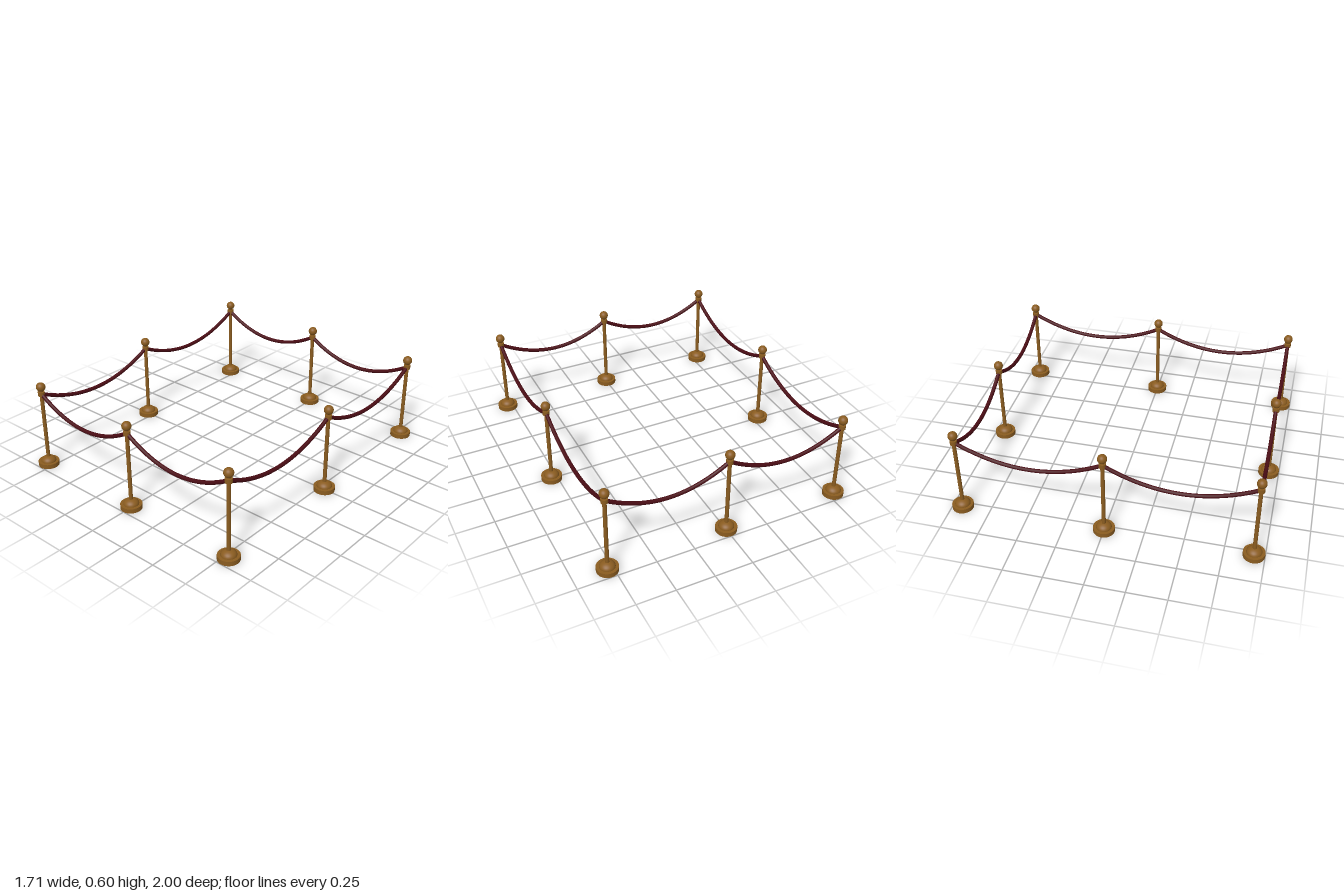
import * as THREE from 'three';

const brass = new THREE.MeshStandardMaterial({ color: 0x8a5c20 });
const velvet = new THREE.MeshStandardMaterial({ color: 0x4a0c14 });

const X = 0.786, Z = 0.932;      // half spacing of the corner posts
const ROPE_TOP = 0.523, ROPE_LOW = 0.398;

function addMesh(parent, name, geometry, material, y = 0) {
  const mesh = new THREE.Mesh(geometry, material);
  mesh.name = name;
  mesh.position.y = y;
  parent.add(mesh);
  return mesh;
}

// Stanchion: round foot, domed cover, pole, rope collar and ball finial
function createPost(x, z) {
  const post = new THREE.Group();
  post.name = 'post';
  post.position.set(x, 0, z);
  addMesh(post, 'base', new THREE.CylinderGeometry(0.068, 0.068, 0.03, 32), brass, 0.015);
  const dome = new THREE.SphereGeometry(0.049, 32, 8, 0, Math.PI * 2, 0, Math.PI / 2);
  addMesh(post, 'baseDome', dome.scale(1, 0.7, 1), brass, 0.03);
  addMesh(post, 'pole', new THREE.CylinderGeometry(0.0125, 0.0125, 0.5, 20), brass, 0.28);
  addMesh(post, 'collar', new THREE.CylinderGeometry(0.022, 0.022, 0.028, 24), brass, 0.525);
  addMesh(post, 'neck', new THREE.CylinderGeometry(0.012, 0.012, 0.02, 16), brass, 0.545);
  addMesh(post, 'finial', new THREE.SphereGeometry(0.03, 24, 16), brass, 0.572);
  return post;
}

// Rope sagging in a parabola between two neighbouring posts
function createRope([x0, z0], [x1, z1]) {
  const points = [];
  for (let i = 0; i <= 16; i++) {
    const t = i / 16;
    const y = ROPE_LOW + (ROPE_TOP - ROPE_LOW) * (2 * t - 1) ** 2;
    points.push(new THREE.Vector3(x0 + (x1 - x0) * t, y, z0 + (z1 - z0) * t));
  }
  const curve = new THREE.CatmullRomCurve3(points);
  const rope = new THREE.Mesh(new THREE.TubeGeometry(curve, 40, 0.0125, 12), velvet);
  rope.name = 'rope';
  return rope;
}

export function createModel() {
  const model = new THREE.Group();
  model.name = 'ropeBarrier';
  // Posts in order around the rectangle
  const spots = [[-X, Z], [0, Z], [X, Z], [X, 0], [X, -Z], [0, -Z], [-X, -Z], [-X, 0]];
  spots.forEach((spot, i) => {
    model.add(createPost(...spot));
    model.add(createRope(spot, spots[(i + 1) % spots.length]));
  });
  return model;
}
